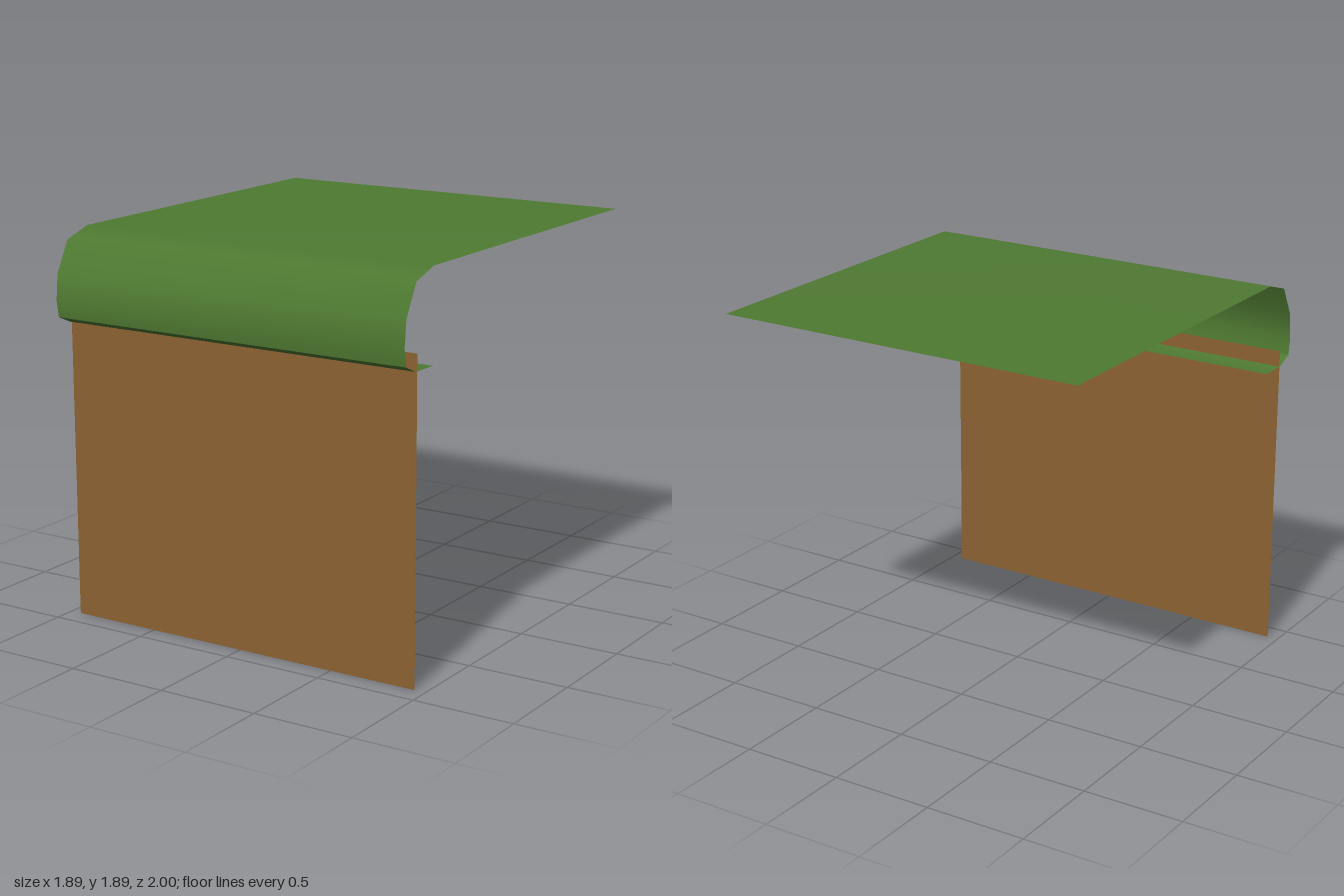
import * as THREE from 'three';

const HALF_WIDTH = 0.945;

// Sheet swept across x along a [z, y] profile; normals are smooth within one sheet
function sheet(name, profile, material) {
  const positions = [];
  const index = [];
  profile.forEach(([z, y], i) => {
    positions.push(-HALF_WIDTH, y, z, HALF_WIDTH, y, z);
    if (i === 0) return;
    const a = 2 * (i - 1);
    index.push(a, a + 2, a + 1, a + 1, a + 2, a + 3);
  });
  const geometry = new THREE.BufferGeometry();
  geometry.setAttribute('position', new THREE.Float32BufferAttribute(positions, 3));
  geometry.setIndex(index);
  geometry.computeVertexNormals();
  const mesh = new THREE.Mesh(geometry, material);
  mesh.name = name;
  return mesh;
}

export function createModel() {
  const grass = new THREE.MeshStandardMaterial({ color: 0x4f7a32, side: THREE.DoubleSide });
  grass.name = 'grass green';
  const earth = new THREE.MeshStandardMaterial({ color: 0x8b6132, side: THREE.DoubleSide });
  earth.name = 'earth brown';

  const model = new THREE.Group();
  model.name = 'grassLedge';

  // Grass: flat top with bevel, rounded front, and lip tucked back under
  const turf = new THREE.Group();
  turf.name = 'turf';
  turf.add(
    sheet('turfTop', [[-1, 1.89], [0.76, 1.89], [0.907, 1.844]], grass),
    sheet('turfFront', [[0.907, 1.844], [0.987, 1.695], [1, 1.57], [0.987, 1.487]], grass),
    sheet('turfLip', [[0.987, 1.487], [0.907, 1.452], [0.76, 1.45]], grass)
  );

  // Earth wall, its top edge poking through the lip
  const wall = sheet('earthWall', [[0.894, 1.53], [0.894, 0]], earth);

  model.add(turf, wall);
  return model;
}
